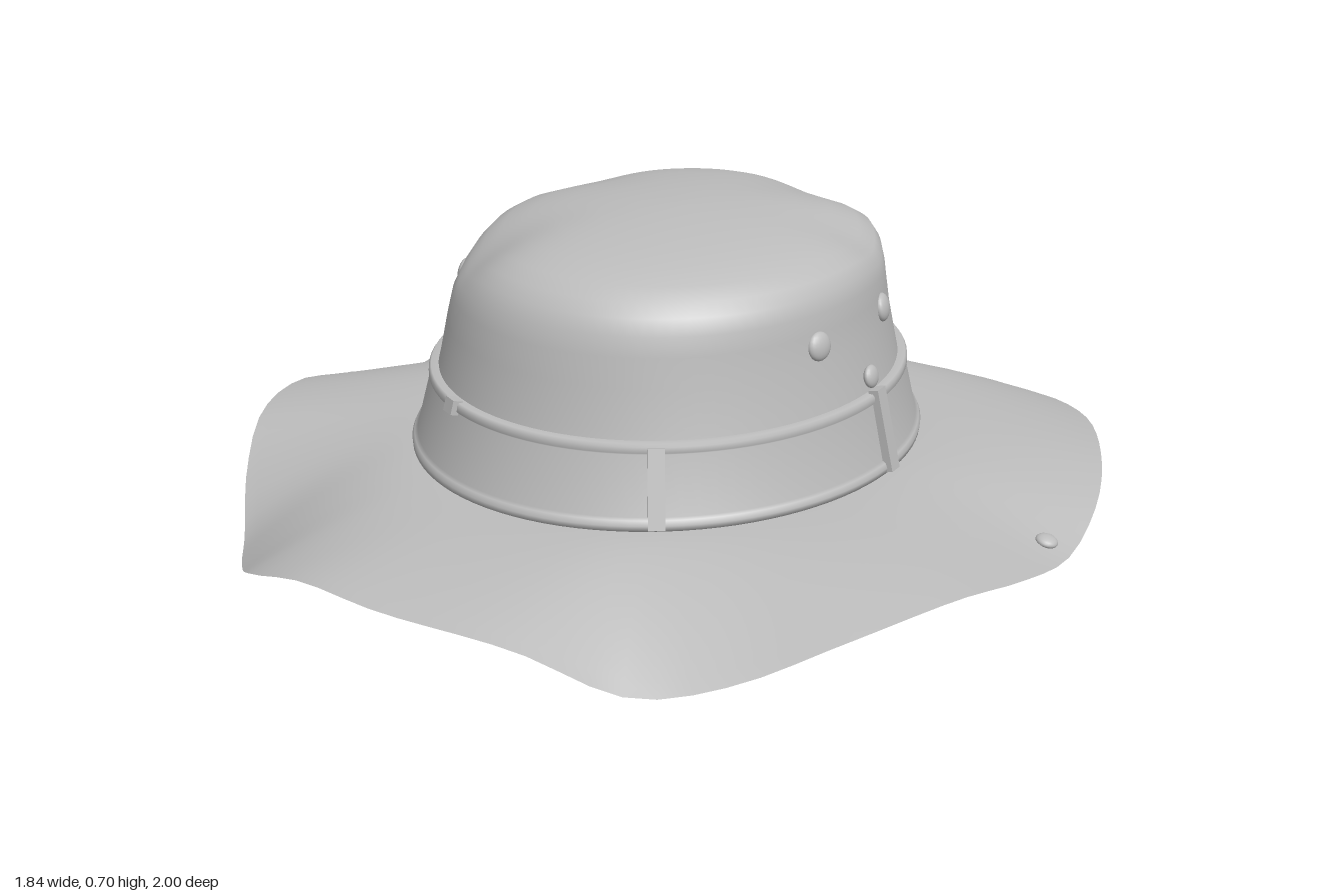
import * as THREE from 'three';

const N = 96;
const fabric = new THREE.MeshStandardMaterial({ color: 0xbcbcbc, side: THREE.DoubleSide });
fabric.name = 'grey fabric';

// Crown sections, top to bottom: half width, half depth, z centre, height
const sections = [
  [0.001, 0.001, -0.03, 0.707], [0.08, 0.09, -0.03, 0.706], [0.16, 0.18, -0.03, 0.7],
  [0.24, 0.27, -0.03, 0.69], [0.31, 0.35, -0.03, 0.676], [0.365, 0.405, -0.03, 0.658],
  [0.4, 0.44, -0.03, 0.637], [0.42, 0.46, -0.025, 0.612], [0.433, 0.473, -0.02, 0.58],
  [0.442, 0.484, -0.02, 0.54], [0.452, 0.495, -0.02, 0.48], [0.468, 0.51, -0.02, 0.4],
  [0.485, 0.53, -0.018, 0.32], [0.51, 0.565, -0.015, 0.21],
];

// Soft dents around the top: x, z, depth, size
const dents = [[-0.34, 0.25, 0.04, 0.13], [0.12, -0.45, 0.025, 0.13], [0.37, -0.2, 0.02, 0.1], [-0.38, -0.2, 0.02, 0.1]];

// Rim of the brim, going round from the +x side through the front
const rim = [
  [0.92, 0.11, -0.05], [0.915, 0.14, 0.15], [0.87, 0.17, 0.35], [0.76, 0.15, 0.58],
  [0.6, 0.085, 0.74], [0.45, 0.065, 0.84], [0.27, 0.16, 0.95], [0, 0.19, 1],
  [-0.2, 0.19, 0.975], [-0.37, 0.14, 0.92], [-0.52, 0.065, 0.78], [-0.65, 0.04, 0.62],
  [-0.76, 0.1, 0.48], [-0.85, 0.165, 0.32], [-0.91, 0.165, 0.12], [-0.92, 0.12, -0.06],
  [-0.89, 0.07, -0.24], [-0.85, 0.1, -0.4], [-0.79, 0.15, -0.58], [-0.61, 0.18, -0.79],
  [-0.39, 0.175, -0.945], [-0.15, 0.14, -1], [0.02, 0.05, -0.99], [0.17, 0.005, -0.97],
  [0.42, 0.075, -0.91], [0.64, 0.125, -0.74], [0.8, 0.155, -0.48], [0.89, 0.14, -0.25],
].map((p) => new THREE.Vector3(...p));

// Smooth surface through closed rings of points, ordered top to bottom
function ringSurface(rings) {
  const pos = [], index = [];
  rings.forEach((ring) => ring.forEach((p) => pos.push(p.x, p.y, p.z)));
  for (let r = 0; r < rings.length - 1; r++) {
    for (let i = 0; i < N; i++) {
      const a = r * N + i, b = r * N + ((i + 1) % N);
      index.push(a, b, a + N, b, b + N, a + N);
    }
  }
  const g = new THREE.BufferGeometry();
  g.setAttribute('position', new THREE.Float32BufferAttribute(pos, 3));
  g.setIndex(index);
  g.computeVertexNormals();
  return g;
}

const ringOf = (fn) => Array.from({ length: N }, (_, i) => fn((i / N) * Math.PI * 2));

function ellipsePoint(a, [rx, rz, zc, y], offset = 0) {
  return new THREE.Vector3((rx + offset) * Math.cos(a), y, zc + (rz + offset) * Math.sin(a));
}

// Point on the crown wall at angle a and height y
function wallPoint(a, y, offset = 0) {
  let k = 1;
  while (k < sections.length - 1 && sections[k][3] > y) k++;
  const top = sections[k - 1], low = sections[k];
  const t = (top[3] - y) / (top[3] - low[3]);
  return ellipsePoint(a, top.map((v, j) => v + (low[j] - v) * t), offset);
}

function wallNormal(a, y) {
  const up = wallPoint(a, y + 0.02).sub(wallPoint(a, y - 0.02));
  const side = wallPoint(a + 0.02, y).sub(wallPoint(a - 0.02, y));
  return up.cross(side).normalize();
}

export function createModel() {
  const hat = new THREE.Group();
  hat.name = 'hat';
  const add = (name, geometry) => {
    const mesh = new THREE.Mesh(geometry, fabric);
    mesh.name = name;
    hat.add(mesh);
    return mesh;
  };

  // Crown with a dented top
  add('crown', ringSurface(sections.map((s) => ringOf((a) => {
    const p = ellipsePoint(a, s);
    const weight = THREE.MathUtils.smoothstep(p.y, 0.5, 0.65);
    let drop = 0;
    for (const [x, z, depth, size] of dents) {
      drop += depth * Math.exp(-((p.x - x) ** 2 + (p.z - z) ** 2) / (size * size));
    }
    p.y -= drop * weight;
    p.x += 0.015 * weight;
    return p;
  }))));

  // Wavy brim, drooping more steeply toward the rim
  const edge = new THREE.CatmullRomCurve3(rim, true).getSpacedPoints(N).slice(0, N);
  const brimRings = [];
  for (let r = 0; r <= 14; r++) {
    const t = r / 14;
    brimRings.push(edge.map((p) => {
      const q = wallPoint(Math.atan2(p.z / 1.1, p.x), 0.212, -0.004);
      const y = q.y + (p.y - q.y) * Math.pow(t, 1.7);
      return q.lerp(p, t).setY(y);
    }));
  }
  add('brim', ringSurface(brimRings));

  // Hat band with a stitched lip along each edge: offset, height
  const bandProfile = [
    [-0.005, 0.38], [0.016, 0.38], [0.019, 0.374], [0.017, 0.362], [0.012, 0.358],
    [0.011, 0.24], [0.017, 0.236], [0.019, 0.226], [0.015, 0.215], [-0.005, 0.212],
  ];
  add('hatBand', ringSurface(bandProfile.map(([o, y]) => ringOf((a) => wallPoint(a, y, o)))));

  // Belt loops standing over the band: angle, low end, high end
  const loops = [
    [-0.03, 0.215, 0.39], [Math.PI + 0.03, 0.215, 0.39], [1.02, 0.215, 0.375],
    [-1.04, 0.215, 0.375], [2.02, 0.355, 0.385], [4.24, 0.355, 0.385],
  ];
  for (const [a, low, high] of loops) {
    const mid = (low + high) / 2;
    const loop = add('bandLoop', new THREE.BoxGeometry(0.034, high - low, 0.022));
    const n = wallNormal(a, mid);
    loop.position.copy(wallPoint(a, mid, 0.018));
    loop.lookAt(loop.position.clone().add(n));
  }

  // Domed rivets
  const rivet = (name, radius, point, normal) => {
    const mesh = add(name, new THREE.SphereGeometry(radius, 20, 12));
    mesh.scale.z = 0.5;
    mesh.position.copy(point);
    mesh.lookAt(point.clone().add(normal));
  };
  for (const side of [1, -1]) {
    for (const [name, z, y, radius, lift] of [
      ['ventRivet', 0.115, 0.515, 0.03, 0.002], ['ventRivet', -0.16, 0.515, 0.03, 0.002],
      ['loopRivet', -0.03, 0.413, 0.024, 0.01],
    ]) {
      const s = Math.asin((z + 0.02) / 0.5);
      const a = side > 0 ? s : Math.PI - s;
      rivet(name, radius, wallPoint(a, y, lift), wallNormal(a, y));
    }
    rivet('brimRivet', 0.023, new THREE.Vector3(0.87 * side, 0.135, side > 0 ? -0.05 : -0.02),
      new THREE.Vector3(0.25 * side, 1, 0));
  }

  return hat;
}
